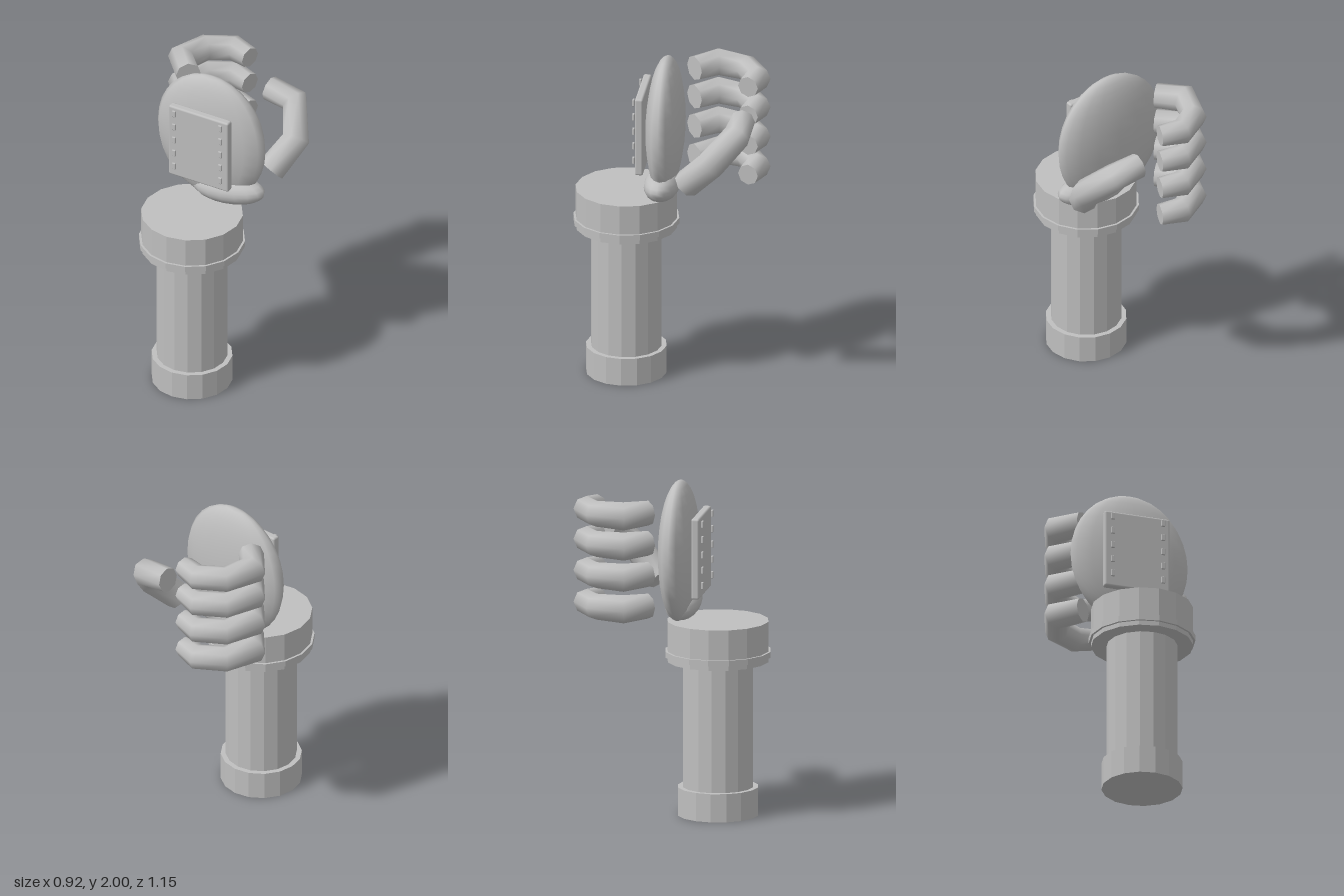
import * as THREE from 'three';
import { RoundedBoxGeometry } from 'three/addons/geometries/RoundedBoxGeometry.js';

const grey = new THREE.MeshStandardMaterial({ color: 0xbfbfbf });
grey.name = 'grey';

function add(parent, name, geometry, x = 0, y = 0, z = 0) {
  const mesh = new THREE.Mesh(geometry, grey);
  mesh.name = name;
  mesh.position.set(x, y, z);
  parent.add(mesh);
  return mesh;
}

// Faceted 16-sided cylinder between two heights
function facetedCylinder(radius, y0, y1) {
  const g = new THREE.CylinderGeometry(radius, radius, y1 - y0, 16).toNonIndexed();
  g.computeVertexNormals();
  return g.translate(0, (y0 + y1) / 2, 0);
}

// Jointed tube: octagonal rings at [x, y, z, radius], smooth sides, flat caps
function jointedTube(joints, sides = 8) {
  const points = joints.map(([x, y, z]) => new THREE.Vector3(x, y, z));
  const pos = [], index = [], last = joints.length - 1;
  const dir = (a, b) => points[b].clone().sub(points[a]).normalize();
  const ring = (i) => {
    const t = new THREE.Vector3();
    if (i > 0) t.add(dir(i - 1, i));
    if (i < last) t.add(dir(i, i + 1));
    t.normalize();
    const s = t.clone().cross(new THREE.Vector3(0, 1, 0)).normalize();
    const u = s.clone().cross(t);
    for (let j = 0; j < sides; j++) {
      const a = (j / sides) * Math.PI * 2;
      const p = points[i].clone()
        .addScaledVector(u, Math.cos(a) * joints[i][3])
        .addScaledVector(s, Math.sin(a) * joints[i][3]);
      pos.push(p.x, p.y, p.z);
    }
  };
  for (let i = 0; i <= last; i++) ring(i);
  for (let i = 0; i < last; i++) {
    for (let j = 0; j < sides; j++) {
      const a = i * sides + j, b = i * sides + (j + 1) % sides;
      index.push(a, b, a + sides, b, b + sides, a + sides);
    }
  }
  // Caps use their own vertices so the end edges stay sharp
  for (const i of [0, last]) {
    const base = pos.length / 3;
    ring(i);
    for (let j = 1; j < sides - 1; j++) {
      if (i === 0) index.push(base, base + j + 1, base + j);
      else index.push(base, base + j, base + j + 1);
    }
  }
  const g = new THREE.BufferGeometry();
  g.setAttribute('position', new THREE.Float32BufferAttribute(pos, 3));
  g.setIndex(index);
  g.computeVertexNormals();
  return g;
}

export function createModel() {
  const model = new THREE.Group();
  model.name = 'mechanicalHand';

  // Forearm column, set forward of the hand
  const forearm = new THREE.Group();
  forearm.name = 'forearm';
  forearm.position.set(-0.02, 0, 0.26);
  model.add(forearm);
  add(forearm, 'base', facetedCylinder(0.24, 0, 0.17));
  add(forearm, 'shaft', facetedCylinder(0.21, 0.17, 0.93));
  add(forearm, 'wristCap', facetedCylinder(0.302, 0.927, 1.17));
  add(forearm, 'wristRing', facetedCylinder(0.315, 0.955, 0.99));

  // Palm and the pad at the root of the thumb
  add(model, 'palm', new THREE.SphereGeometry(1, 16, 16).scale(0.365, 0.42, 0.11), -0.02, 1.58, 0.027);
  const pad = add(model, 'thumbPad', new THREE.SphereGeometry(1, 16, 12).scale(0.24, 0.09, 0.105), 0.1, 1.25, 0.032);
  pad.rotation.z = 0.13;

  // Plate on the back of the hand, with two columns of studs
  add(model, 'plate', new RoundedBoxGeometry(0.405, 0.485, 0.048, 2, 0.012), -0.022, 1.572, 0.16);
  for (const x of [-0.179, 0.134]) {
    for (let i = 0; i < 5; i++) {
      add(model, 'stud', new RoundedBoxGeometry(0.024, 0.042, 0.014, 1, 0.004), x, 1.777 - i * 0.0923, 0.197);
    }
  }

  // Four curled fingers
  const fingerGeometry = jointedTube([
    [-0.26, 0, -0.113, 0.075],
    [-0.377, 0, -0.24, 0.085],
    [-0.315, -0.004, -0.415, 0.078],
    [-0.17, -0.008, -0.5, 0.077],
    [-0.04, -0.01, -0.46, 0.064],
  ]);
  for (const y of [1.85, 1.668, 1.48, 1.29]) add(model, 'finger', fingerGeometry, 0, y, 0);

  // Thumb rising and curling inward
  add(model, 'thumb', jointedTube([
    [0.286, 1.34, -0.14, 0.085],
    [0.37, 1.5, -0.29, 0.087],
    [0.277, 1.655, -0.435, 0.083],
    [0.1, 1.68, -0.447, 0.075],
  ]));

  return model;
}
